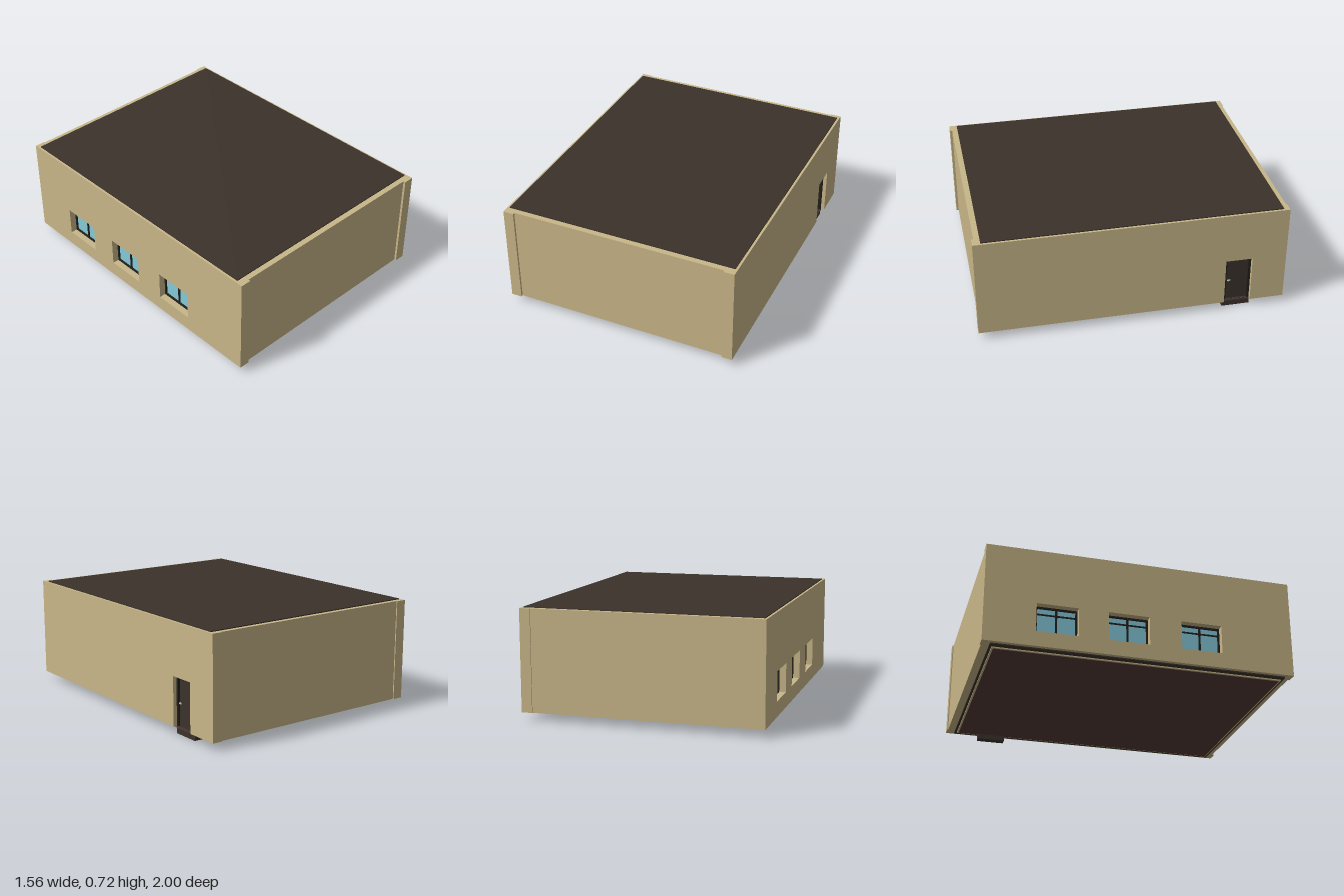
import * as THREE from 'three';

const mat = (name, color) => {
  const m = new THREE.MeshStandardMaterial({ color });
  m.name = name;
  return m;
};

export function createModel() {
  const model = new THREE.Group();
  model.name = 'building';
  const plaster = mat('plaster', 0xc8b688);
  const dark = mat('darkBrown', 0x3b322b);
  const trim = mat('blackTrim', 0x231f1c);
  const floorRed = mat('redBrown', 0x543c34);
  const glass = mat('paleGlass', 0x84cbda);
  const metal = mat('handleMetal', 0xa4cbbd);

  // box given by its lower and upper corners
  const box = (name, material, x0, x1, y0, y1, z0, z1, parent = model) => {
    const mesh = new THREE.Mesh(new THREE.BoxGeometry(x1 - x0, y1 - y0, z1 - z0), material);
    mesh.position.set((x0 + x1) / 2, (y0 + y1) / 2, (z0 + z1) / 2);
    mesh.name = name;
    parent.add(mesh);
    return mesh;
  };
  const loop = (Type, pts) => new Type(pts.map(([a, b]) => new THREE.Vector2(a, b)));

  const BOTTOM = 0.05, TOP = 0.71, OUT = 0.78, IN = 0.71;
  const door = { z0: -0.775, z1: -0.6, top: 0.37 };
  const windowCentres = [-0.54, -0.085, 0.39];
  const win = { half: 0.133, y0: 0.15, y1: 0.34 };

  // side walls are drawn in the z-y plane and extruded through their thickness
  const sideWall = (name, shape, outerX) => {
    const geo = new THREE.ExtrudeGeometry(shape, { depth: OUT - IN, bevelEnabled: false });
    geo.rotateY(-Math.PI / 2);
    const mesh = new THREE.Mesh(geo, plaster);
    mesh.position.x = outerX;
    mesh.name = name;
    model.add(mesh);
  };
  sideWall('leftWall', loop(THREE.Shape, [
    [-1, BOTTOM], [door.z0, BOTTOM], [door.z0, door.top], [door.z1, door.top],
    [door.z1, BOTTOM], [1, BOTTOM], [1, TOP], [-1, TOP],
  ]), OUT);
  const windowWall = loop(THREE.Shape, [[-1, BOTTOM], [1, BOTTOM], [1, TOP], [-1, TOP]]);
  for (const c of windowCentres) {
    windowWall.holes.push(loop(THREE.Path, [
      [c - win.half, win.y0], [c - win.half, win.y1], [c + win.half, win.y1], [c + win.half, win.y0],
    ]));
  }
  sideWall('rightWall', windowWall, -IN);

  // end walls sit slightly behind the ends of the side walls
  box('frontWall', plaster, -IN, IN, BOTTOM, TOP, 0.915, 0.985);
  box('backWall', plaster, -IN, IN, BOTTOM, TOP, -0.993, -0.923);

  // roof slab and stepped base
  box('roof', dark, -0.765, 0.765, 0.66, 0.716, -0.962, 0.948);
  box('baseSlab', dark, -0.755, 0.755, 0.042, 0.052, -0.945, 0.95);
  box('baseRim', plaster, -0.72, 0.72, 0.035, 0.043, -0.93, 0.935);
  box('floorPanel', floorRed, -0.708, 0.708, 0.033, 0.04, -0.918, 0.923);

  // door with frame, threshold, step and handle
  const doorGroup = new THREE.Group();
  doorGroup.name = 'door';
  model.add(doorGroup);
  const { z0, z1, top } = door;
  const f = 0.016;
  box('doorLeaf', dark, 0.72, 0.742, BOTTOM, top - f, z0 + f, z1 - f, doorGroup);
  box('doorFrameBack', trim, 0.71, 0.755, BOTTOM, top, z0, z0 + f, doorGroup);
  box('doorFrameFront', trim, 0.71, 0.755, BOTTOM, top, z1 - f, z1, doorGroup);
  box('doorFrameTop', trim, 0.71, 0.755, top - f, top, z0 + f, z1 - f, doorGroup);
  box('threshold', floorRed, 0.71, 0.758, 0.04, BOTTOM, z0, z1, doorGroup);
  box('step', dark, 0.695, 0.75, 0, 0.04, z0 - 0.005, z1 + 0.005, doorGroup);
  const knob = new THREE.Mesh(new THREE.SphereGeometry(0.007, 12, 8), metal);
  knob.position.set(0.751, 0.2, -0.63);
  knob.name = 'doorKnob';
  doorGroup.add(knob);
  box('doorLever', metal, 0.749, 0.754, 0.197, 0.203, -0.645, -0.63, doorGroup);

  // recessed windows with frame and glazing bars
  for (const c of windowCentres) {
    const g = new THREE.Group();
    g.name = 'window';
    g.position.z = c;
    model.add(g);
    const { half: h, y0, y1 } = win;
    const w = 0.012;
    box('windowGlass', glass, -0.727, -0.72, y0, y1, -h, h, g);
    for (const s of [-1, 1]) {
      box('windowJamb', trim, -0.737, -0.712, y0, y1, s * (h - w / 2) - w / 2, s * (h - w / 2) + w / 2, g);
    }
    box('windowSillBar', trim, -0.737, -0.712, y0, y0 + w, -h + w, h - w, g);
    box('windowHeadBar', trim, -0.737, -0.712, y1 - w, y1, -h + w, h - w, g);
    box('windowMullion', trim, -0.735, -0.714, y0 + w, y1 - w, -0.006, 0.006, g);
    box('windowTransom', trim, -0.733, -0.715, y1 - 0.055, y1 - 0.046, -h + w, h - w, g);
  }

  return model;
}
